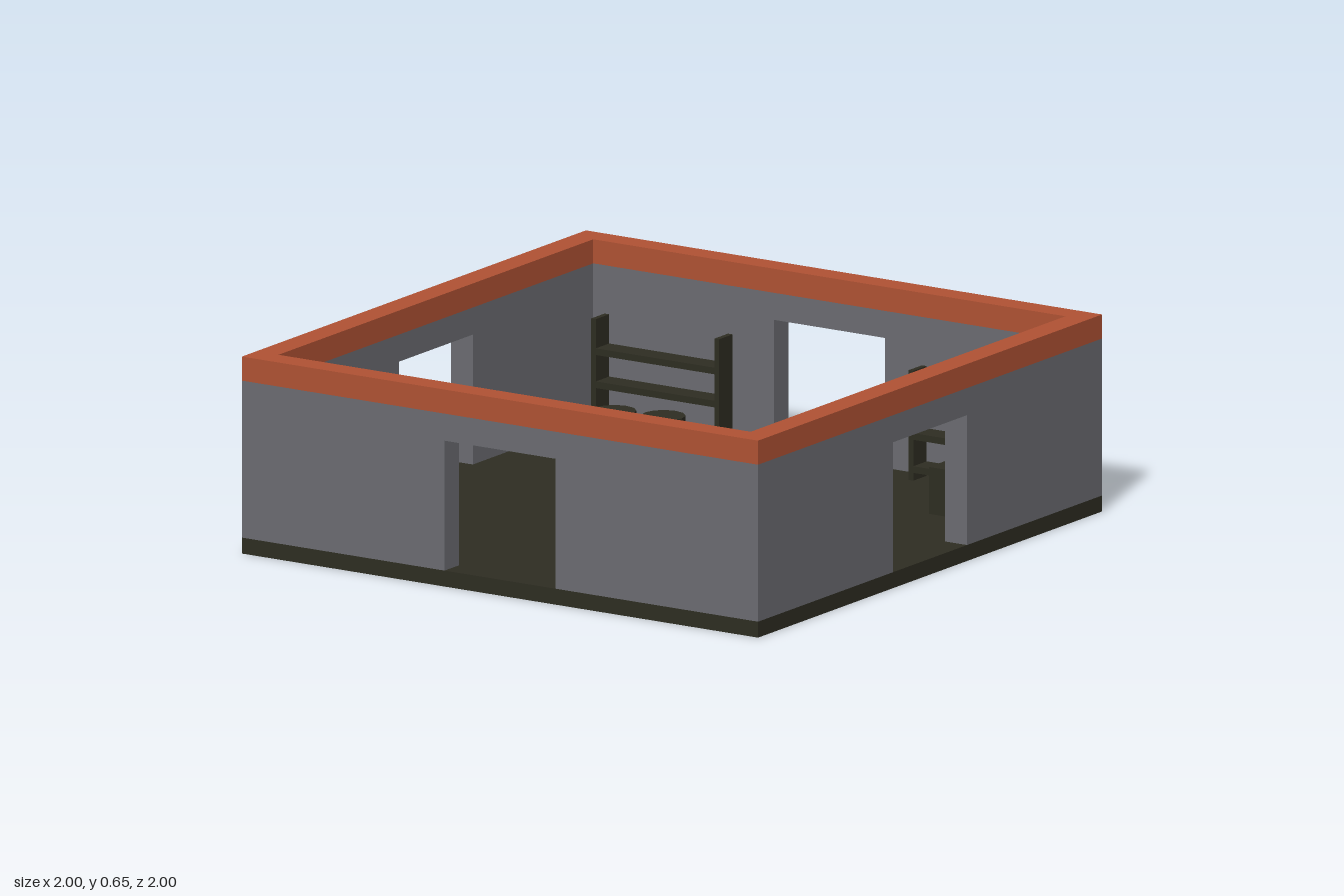
import * as THREE from 'three';

const FLOOR = 0.053, WALL_TOP = 0.575, TOP = 0.655;
const INNER = 0.915, THICK = 1 - INNER;
const DOOR = 0.215, DOOR_TOP = 0.485;

function material(name, color) {
  const m = new THREE.MeshStandardMaterial({ color });
  m.name = name;
  return m;
}

function add(parent, name, geometry, mat, x = 0, y = 0, z = 0) {
  const mesh = new THREE.Mesh(geometry, mat);
  mesh.name = name;
  mesh.position.set(x, y, z);
  parent.add(mesh);
  return mesh;
}

// Wall outline with a doorway cut up from the floor
function wallGeometry(half) {
  const shape = new THREE.Shape([
    [-half, FLOOR], [-DOOR, FLOOR], [-DOOR, DOOR_TOP], [DOOR, DOOR_TOP],
    [DOOR, FLOOR], [half, FLOOR], [half, WALL_TOP], [-half, WALL_TOP],
  ].map(([x, y]) => new THREE.Vector2(x, y)));
  return new THREE.ExtrudeGeometry(shape, { depth: THICK, bevelEnabled: false })
    .translate(0, 0, INNER);
}

function square(half) {
  return [[-half, -half], [half, -half], [half, half], [-half, half]]
    .map(([x, y]) => new THREE.Vector2(x, y));
}

// Rack with two end posts and three boards, standing on the floor
function makeRack(mat) {
  const rack = new THREE.Group();
  rack.name = 'storageRack';
  const depth = 0.078, height = 0.365, post = 0.018, half = 0.248;
  for (const side of [-1, 1]) {
    add(rack, 'rackPost', new THREE.BoxGeometry(post, height, depth), mat,
      side * (half - post / 2), FLOOR + height / 2, 0);
  }
  for (const y of [0.09, 0.2, 0.31]) {
    add(rack, 'rackBoard', new THREE.BoxGeometry(2 * (half - post), 0.022, depth), mat, 0, y, 0);
  }
  return rack;
}

export function createModel() {
  const model = new THREE.Group();
  model.name = 'storageRoom';
  const stone = material('grey stone', 0x6b6c71);
  const clay = material('terracotta trim', 0xb05234);
  const dark = material('dark wood', 0x2e2d22);
  const barrelMat = dark;

  add(model, 'floor', new THREE.BoxGeometry(2, FLOOR, 2), dark, 0, FLOOR / 2, 0);

  // Four walls, each with a doorway
  ['frontWall', 'leftWall', 'backWall', 'rightWall'].forEach((name, i) => {
    const wall = add(model, name, wallGeometry(i % 2 ? INNER : 1), stone);
    wall.rotation.y = i * Math.PI / 2;
  });

  // Coping ring along the top of the walls
  const ring = new THREE.Shape(square(1));
  ring.holes.push(new THREE.Path(square(INNER).reverse()));
  const coping = new THREE.ExtrudeGeometry(ring, { depth: TOP - WALL_TOP, bevelEnabled: false });
  coping.rotateX(-Math.PI / 2);
  add(model, 'wallCoping', coping, clay, 0, WALL_TOP, 0);

  // Furnishings, repeated by a half turn about the centre
  for (const s of [-1, 1]) {
    for (const x of [-0.615, 0.615]) {
      const rack = makeRack(dark);
      rack.position.set(x, 0, s * 0.864);
      model.add(rack);
    }
    for (const [x, z] of [[0.602, 0.567], [0.433, 0.6]]) {
      const barrel = new THREE.CylinderGeometry(0.072, 0.072, 0.15, 12).toNonIndexed();
      barrel.computeVertexNormals();
      add(model, 'barrel', barrel, barrelMat, s * x, FLOOR + 0.075, s * z);
    }
    add(model, 'crate', new THREE.BoxGeometry(0.156, 0.156, 0.156), dark,
      -s * 0.748, FLOOR + 0.078, s * 0.567);
  }
  return model;
}
